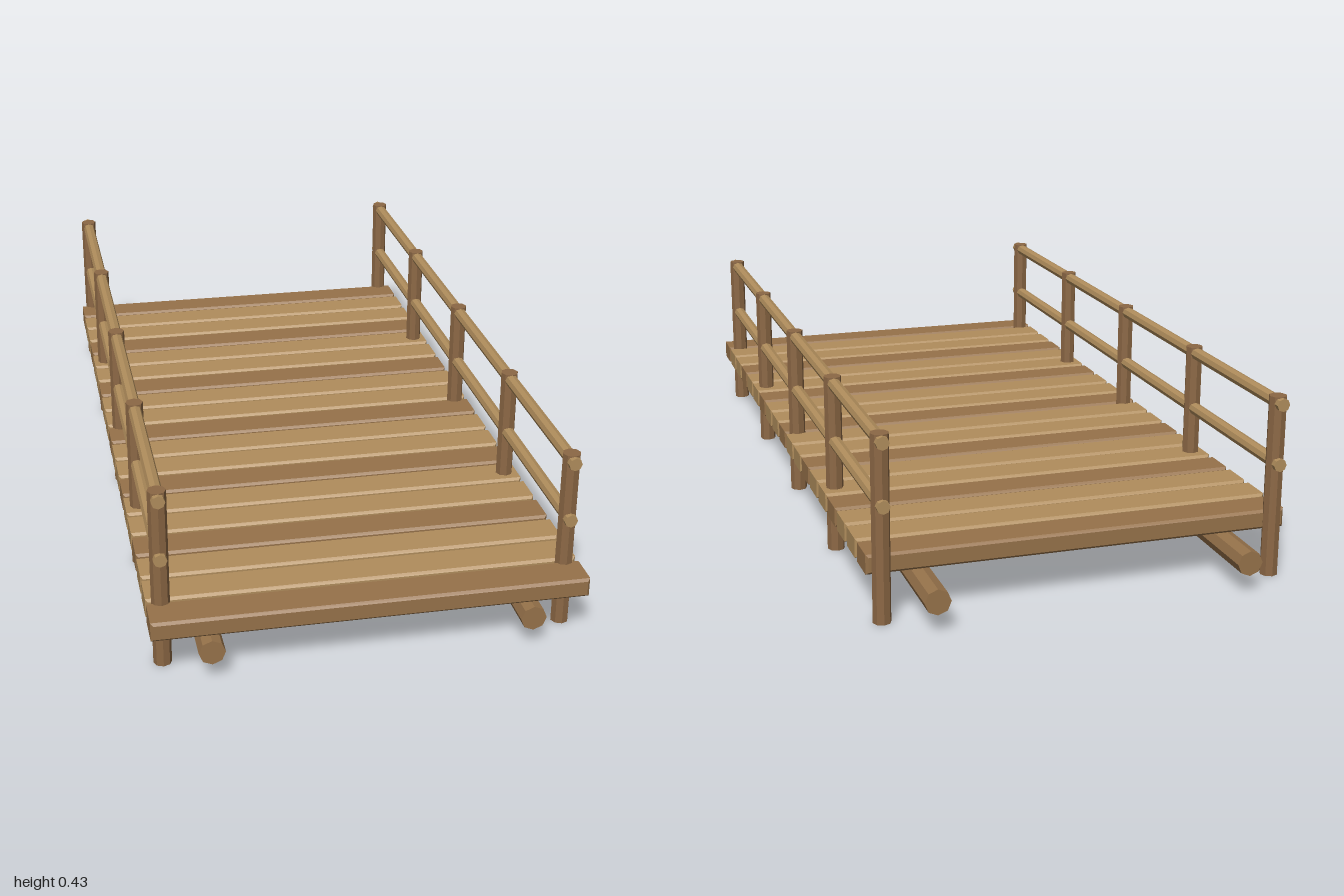
import * as THREE from 'three';

const wood = (color) => new THREE.MeshStandardMaterial({ color, flatShading: true });

export function createModel() {
  const bridge = new THREE.Group();
  bridge.name = 'footbridge';
  const dark = wood(0x96724a), light = wood(0xb08d5c), postWood = wood(0x8c6845);

  const add = (name, geometry, material, x, y, z) => {
    const mesh = new THREE.Mesh(geometry, material);
    mesh.name = name;
    mesh.position.set(x, y, z);
    bridge.add(mesh);
  };

  // Eight-sided poles
  const pole = (radius, length) => new THREE.CylinderGeometry(radius, radius, length, 8);
  const logGeo = pole(0.03, 2).rotateX(Math.PI / 2);
  const railGeo = pole(0.0155, 1.86).rotateX(Math.PI / 2);
  const postGeo = pole(0.021, 0.434);

  // Plank with chamfered edges
  const W = 0.996, H = 0.046, D = 0.089, B = 0.006;
  const w = W / 2 - B, h = H / 2 - B;
  const outline = new THREE.Shape([
    new THREE.Vector2(-w, -h), new THREE.Vector2(w, -h),
    new THREE.Vector2(w, h), new THREE.Vector2(-w, h),
  ]);
  const plankGeo = new THREE.ExtrudeGeometry(outline, {
    depth: D - 2 * B, bevelEnabled: true, bevelThickness: B, bevelSize: B, bevelSegments: 1,
  });
  plankGeo.center();

  // Deck, every third plank darker
  for (let i = 0; i < 19; i++) {
    add('deckPlank', plankGeo, i % 3 === 0 ? dark : light, 0, 0.134, 0.947 - i * 0.1);
  }

  // Mirrored bearer logs, posts and rails
  for (const [side, s] of [['left', 1], ['right', -1]]) {
    add(side + 'BearerLog', logGeo, dark, s * 0.366, 0.075, 0);
    for (let i = -2; i <= 2; i++) add(side + 'Post', postGeo, postWood, s * 0.465, 0.217, i * 0.45);
    add(side + 'LowerRail', railGeo, light, s * 0.465, 0.275, 0);
    add(side + 'UpperRail', railGeo, light, s * 0.465, 0.418, 0);
  }
  return bridge;
}
